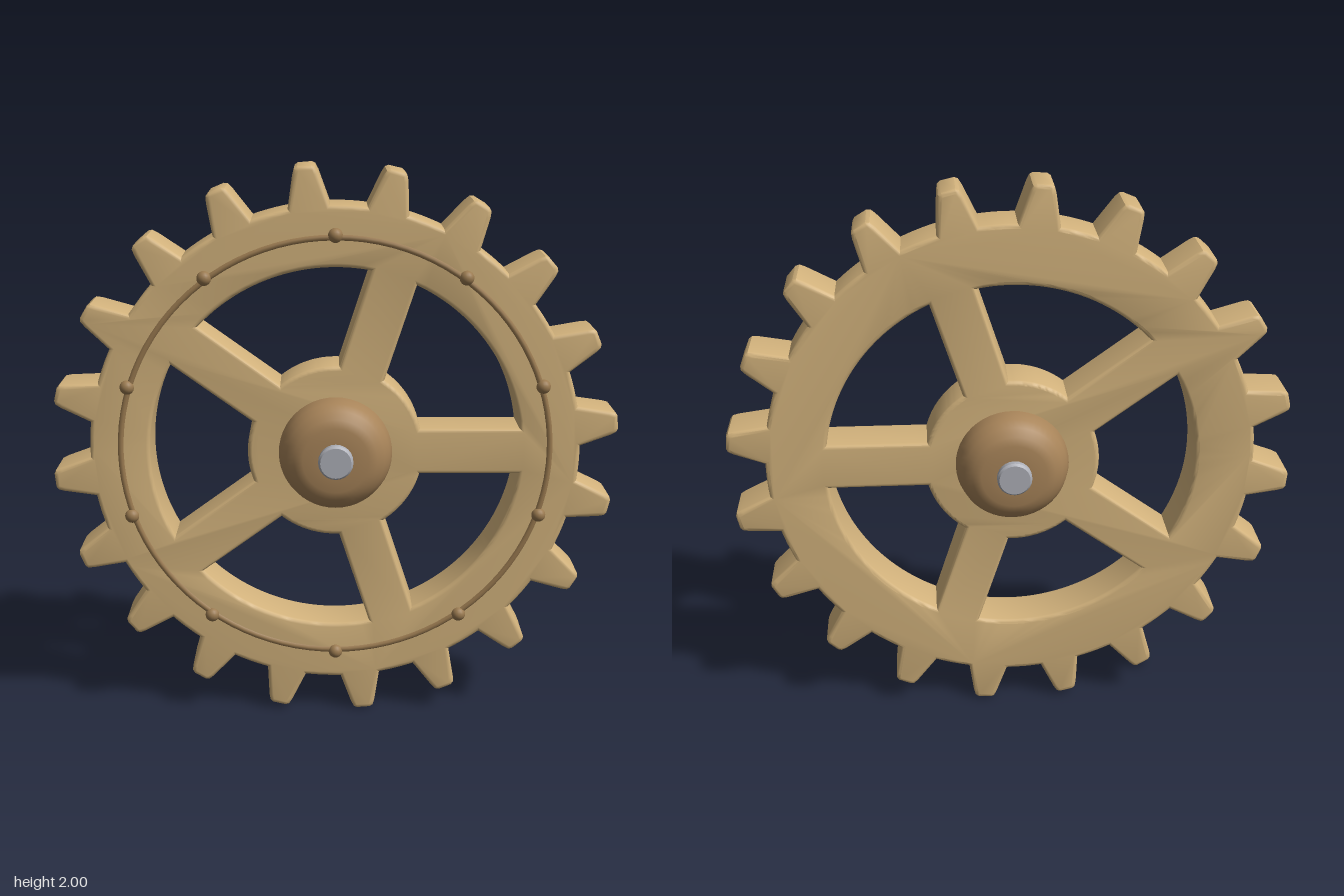
import * as THREE from 'three';
import { toCreasedNormals } from 'three/addons/utils/BufferGeometryUtils.js';

const TEETH = 20, SPOKES = 5, STUDS = 10;
const DEPTH = 0.18, BEVEL = 0.015;

const mat = (color) => new THREE.MeshStandardMaterial({ color });

// Outline with tapered, corner-rounded teeth joined by arcs at the root circle
function gearShape() {
  const root = 0.867, half = 0.072, step = (Math.PI * 2) / TEETH;
  const pts = [];
  for (let i = 0; i < TEETH; i++) {
    const a = THREE.MathUtils.degToRad(6) + i * step;
    const c = Math.cos(a), s = Math.sin(a);
    for (const [r, w] of [[0.864, -half], [0.975, -0.044], [0.995, -0.036], [1.002, -0.024],
      [1.003, 0.024], [0.996, 0.036], [0.975, 0.044], [0.864, half]]) {
      pts.push(new THREE.Vector2(r * c - w * s, r * s + w * c));
    }
    const edge = Math.asin(half / root);
    for (let j = 1; j < 5; j++) {
      const b = a + edge + ((step - 2 * edge) * j) / 5;
      pts.push(new THREE.Vector2(root * Math.cos(b), root * Math.sin(b)));
    }
  }
  return new THREE.Shape(pts);
}

// Opening between two neighbouring spokes
function windowHole(index) {
  const outer = 0.655, inner = 0.31, half = 0.083, n = 24;
  const step = (Math.PI * 2) / SPOKES, start = index * step;
  const pts = [];
  const arc = (r, from, to) => {
    for (let i = 0; i <= n; i++) {
      const a = from + ((to - from) * i) / n;
      pts.push(new THREE.Vector2(r * Math.cos(a), r * Math.sin(a)));
    }
  };
  const eo = Math.asin(half / outer), ei = Math.asin(half / inner);
  arc(outer, start + step - eo, start + eo);
  arc(inner, start + ei, start + step - ei);
  return new THREE.Path(pts);
}

export function createModel() {
  const group = new THREE.Group();
  group.name = 'gearWheel';
  const wheel = new THREE.Group();
  wheel.name = 'wheel';
  wheel.position.y = 1;
  group.add(wheel);

  const add = (name, geometry, material) => {
    const mesh = new THREE.Mesh(geometry, material);
    mesh.name = name;
    wheel.add(mesh);
    return mesh;
  };
  const wood = mat(0xd2b27c), darkWood = mat(0xa88459), trim = mat(0x9a7a50), metal = mat(0xaeb0b8);

  // Toothed rim, spokes and hub ring in one bevelled plate
  const shape = gearShape();
  for (let i = 0; i < SPOKES; i++) shape.holes.push(windowHole(i));
  const plate = new THREE.ExtrudeGeometry(shape, {
    depth: DEPTH - 2 * BEVEL, bevelEnabled: true, bevelThickness: BEVEL,
    bevelSize: BEVEL, bevelOffset: -BEVEL, bevelSegments: 3,
  });
  plate.translate(0, 0, -DEPTH / 2 + BEVEL);
  add('toothedWheel', toCreasedNormals(plate, 0.6), wood);

  // Domed hub on both sides
  const half = [[0, 0.205], [0.06, 0.205], [0.115, 0.203], [0.145, 0.193], [0.172, 0.17], [0.19, 0.142], [0.2, 0.1]];
  const profile = [...half.map(([r, z]) => [r, -z]), ...half.reverse()].map(([r, z]) => new THREE.Vector2(r, z));
  const hub = add('hub', new THREE.LatheGeometry(profile, 48), darkWood);
  hub.rotation.x = Math.PI / 2;

  // Axle with small chamfers
  const axleProfile = [[0, -0.232], [0.054, -0.232], [0.061, -0.224], [0.061, 0.224], [0.054, 0.232], [0, 0.232]]
    .map(([r, z]) => new THREE.Vector2(r, z));
  const axle = add('axle', toCreasedNormals(new THREE.LatheGeometry(axleProfile, 24), 0.5), metal);
  axle.rotation.x = Math.PI / 2;

  // Raised ring and studs on the front of the rim
  const ring = add('trimRing', new THREE.TorusGeometry(0.758, 0.012, 10, 96), trim);
  ring.position.z = 0.084;
  const studGeometry = new THREE.SphereGeometry(0.026, 16, 12);
  for (let i = 0; i < STUDS; i++) {
    const a = Math.PI / 2 + (i * Math.PI * 2) / STUDS;
    const stud = add('stud', studGeometry, trim);
    stud.position.set(0.765 * Math.cos(a), 0.765 * Math.sin(a), 0.086);
  }
  return group;
}
